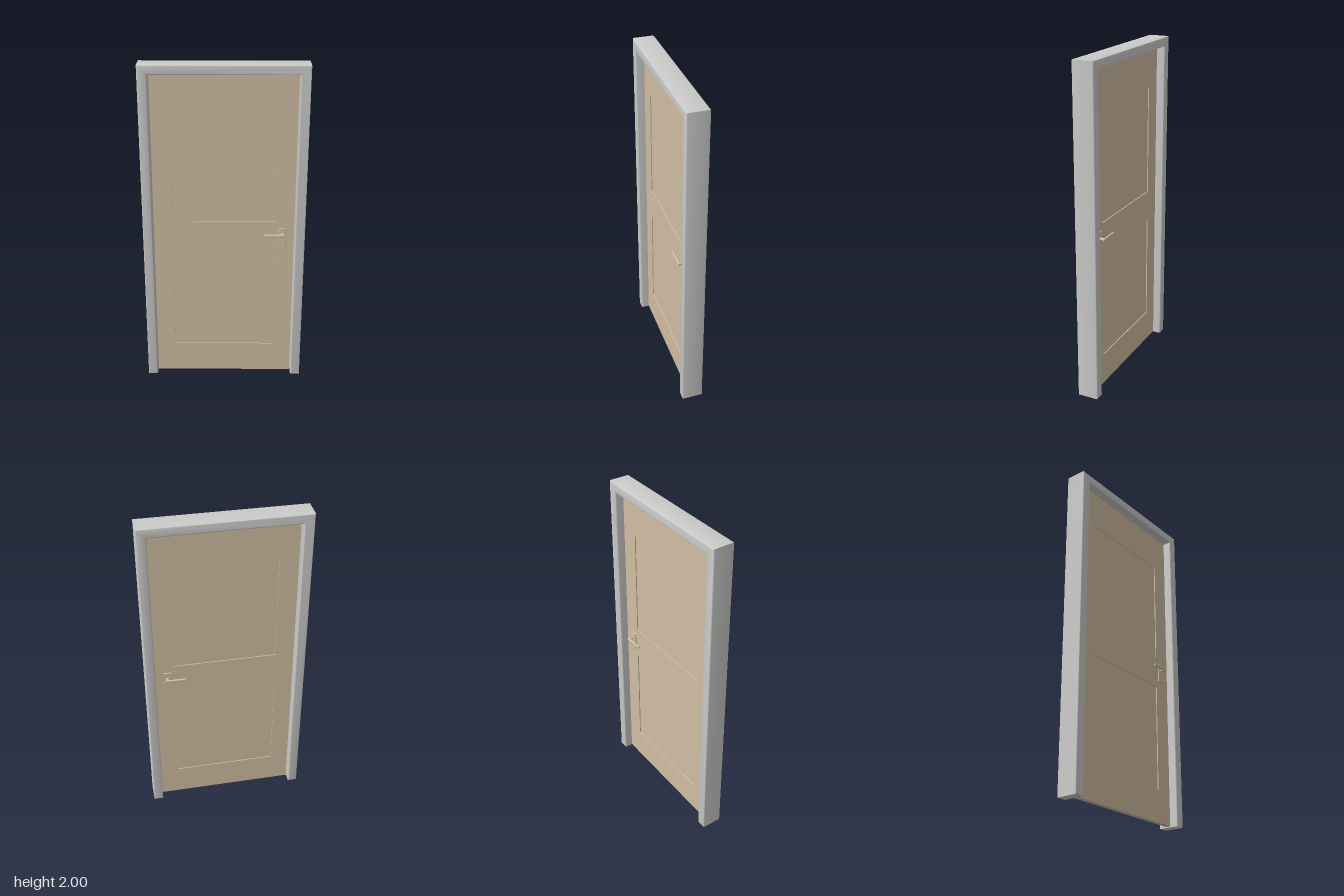
import * as THREE from 'three';
import { toCreasedNormals } from 'three/addons/utils/BufferGeometryUtils.js';
import { RoundedBoxGeometry } from 'three/addons/geometries/RoundedBoxGeometry.js';

const material = (name, color) => {
  const m = new THREE.MeshStandardMaterial({ color });
  m.name = name;
  return m;
};

const part = (name, geometry, mat, x = 0, y = 0, z = 0) => {
  const mesh = new THREE.Mesh(geometry, mat);
  mesh.name = name;
  mesh.position.set(x, y, z);
  return mesh;
};

const polygon = (points) => points.map(([x, y]) => new THREE.Vector2(x, y));

export function createModel() {
  const frameGrey = material('frame grey', 0xcbcbca);
  const doorBeige = material('door beige', 0xd0bda2);
  const handleBeige = material('handle beige', 0xd0c0a6);
  const model = new THREE.Group();
  model.name = 'door';

  // Frame: upside-down U with softened edges, open at the floor
  const b = 0.007, outer = 0.483, inner = 0.425, lintel = 1.945, depth = 0.13;
  const outline = new THREE.Shape(polygon([
    [-outer + b, b], [-inner - b, b], [-inner - b, lintel + b], [inner + b, lintel + b],
    [inner + b, b], [outer - b, b], [outer - b, 2 - b], [-outer + b, 2 - b],
  ]));
  const frame = new THREE.ExtrudeGeometry(outline, {
    depth: depth - 2 * b, bevelEnabled: true, bevelSize: b, bevelThickness: b, bevelSegments: 3,
  });
  frame.translate(0, 0, b - depth / 2);
  model.add(part('frame', toCreasedNormals(frame, 0.7), frameGrey));

  // Door leaf: slab with two openings, each filled by a slightly thinner panel
  const half = 0.015, recess = 0.006, panelX = 0.31;
  const panels = [[0.2, 0.855], [1.05, 1.71]];
  const slab = new THREE.Shape(polygon([[-0.421, 0.006], [0.421, 0.006], [0.421, 1.941], [-0.421, 1.941]]));
  for (const [y0, y1] of panels) {
    slab.holes.push(new THREE.Path(polygon([[-panelX, y0], [-panelX, y1], [panelX, y1], [panelX, y0]])));
  }
  const leaf = new THREE.ExtrudeGeometry(slab, { depth: 2 * half, bevelEnabled: false });
  model.add(part('doorLeaf', leaf, doorBeige, 0, 0, -half));
  panels.forEach(([y0, y1], i) => {
    const panel = new THREE.BoxGeometry(2 * panelX, y1 - y0, 2 * (half - recess));
    model.add(part(i ? 'upperPanel' : 'lowerPanel', panel, doorBeige, 0, (y0 + y1) / 2));
  });

  // Handle set on each face: backplate, spindle and lever
  for (const side of [1, -1]) {
    const handle = new THREE.Group();
    handle.name = side > 0 ? 'frontHandle' : 'backHandle';
    handle.add(part('backplate', new RoundedBoxGeometry(0.046, 0.115, 0.008, 2, 0.002),
      handleBeige, 0.348, 0.952, side * (half + 0.003)));
    const spindle = new THREE.CylinderGeometry(0.008, 0.008, 0.036, 16);
    spindle.rotateX(Math.PI / 2);
    handle.add(part('spindle', spindle, handleBeige, 0.35, 0.971, side * (half + 0.02)));
    handle.add(part('lever', new RoundedBoxGeometry(0.122, 0.018, 0.012, 3, 0.005),
      handleBeige, 0.301, 0.971, side * (half + 0.037)));
    model.add(handle);
  }
  return model;
}
